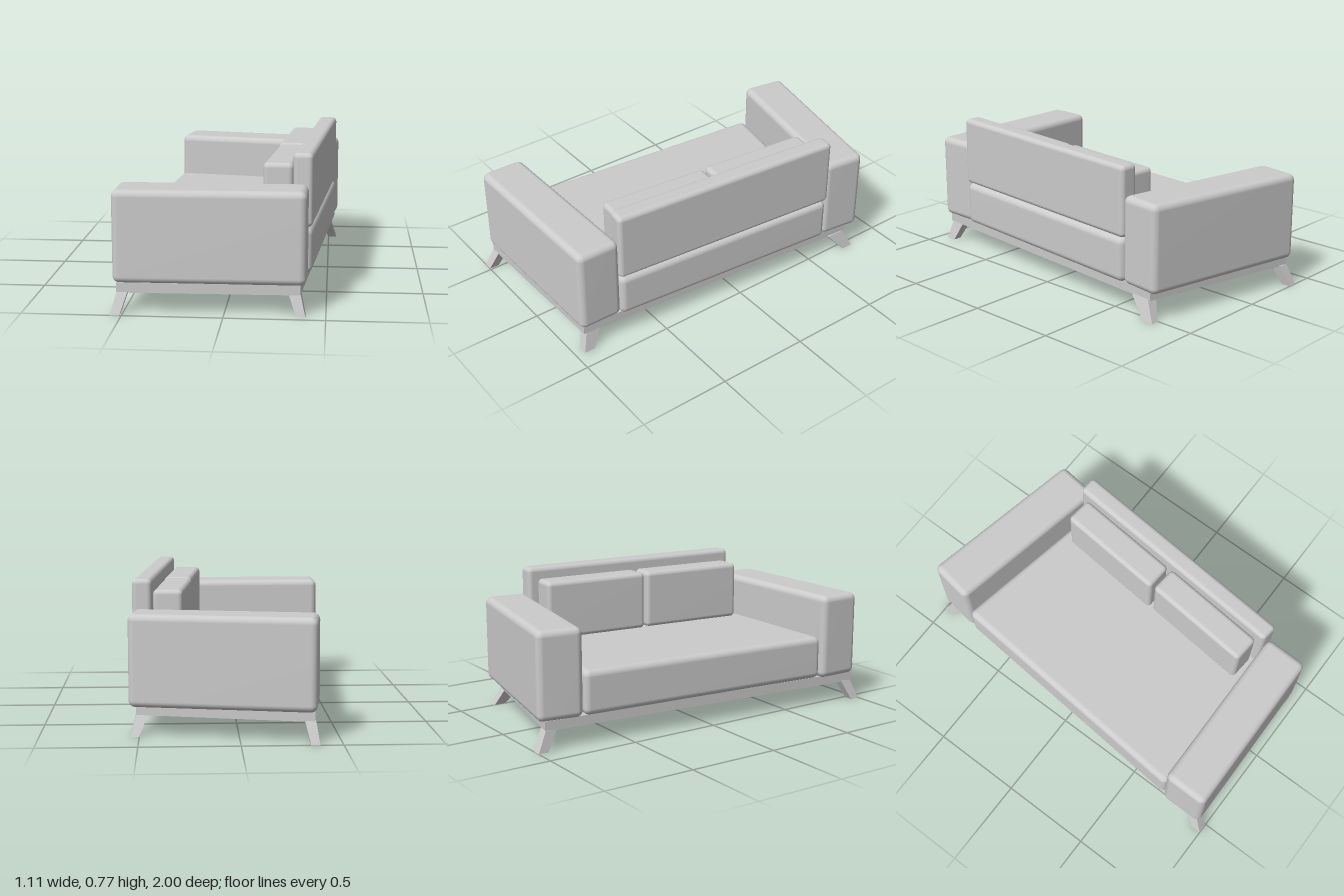
import * as THREE from 'three';
import { mergeVertices } from 'three/addons/utils/BufferGeometryUtils.js';
import { RoundedBoxGeometry } from 'three/addons/geometries/RoundedBoxGeometry.js';

const material = new THREE.MeshStandardMaterial({ color: 0xcccccc });

// Plan quads list [x, z] corners: near left, near right, far right, far left.
function bilinear(q, u, v, k) {
  return (1 - v) * ((1 - u) * q[0][k] + u * q[1][k]) + v * ((1 - u) * q[3][k] + u * q[2][k]);
}

// Warps a geometry of size w x h x d into the space between a bottom and a top quad.
function warp(geometry, [w, h, d], bottom, top, y0, y1) {
  const p = geometry.attributes.position;
  for (let i = 0; i < p.count; i++) {
    const u = p.getX(i) / w + 0.5;
    const t = p.getY(i) / h + 0.5;
    const v = 0.5 - p.getZ(i) / d;
    const at = (k) => (1 - t) * bilinear(bottom, u, v, k) + t * bilinear(top, u, v, k);
    p.setXYZ(i, at(0), y0 + t * (y1 - y0), at(1));
  }
  return geometry;
}

// Soft block with rounded edges standing on a plan quad
function cushion(name, quad, y0, y1, radius) {
  const side = (a, b) => Math.hypot(a[0] - b[0], a[1] - b[1]);
  const size = [side(quad[0], quad[1]), y1 - y0, side(quad[0], quad[3])];
  let geometry = new RoundedBoxGeometry(...size, 5, radius);
  warp(geometry, size, quad, quad, y0, y1);
  geometry.deleteAttribute('uv');
  geometry.deleteAttribute('normal');
  geometry = mergeVertices(geometry, 1e-5);
  geometry.computeVertexNormals();
  const mesh = new THREE.Mesh(geometry, material);
  mesh.name = name;
  return mesh;
}

// Axis-aligned plan rectangle
const rect = (x0, x1, z0, z1) => [[x0, z1], [x1, z1], [x1, z0], [x0, z0]];

// Splayed, tapering leg
function leg(name, top, foot) {
  const geometry = warp(new THREE.BoxGeometry(1, 1, 1), [1, 1, 1], rect(...foot), rect(...top), 0, 0.108);
  geometry.computeVertexNormals();
  const mesh = new THREE.Mesh(geometry, material);
  mesh.name = name;
  return mesh;
}

// Open rail frame under the upholstery
function baseFrame(quad) {
  const points = (q) => q.map(([x, z]) => new THREE.Vector2(x, z));
  const inset = [[0.06, 0.04], [0.94, 0.04], [0.94, 0.96], [0.06, 0.96]]
    .map(([u, v]) => [bilinear(quad, u, v, 0), bilinear(quad, u, v, 1)]);
  const shape = new THREE.Shape(points(quad));
  shape.holes.push(new THREE.Path(points(inset)));
  const geometry = new THREE.ExtrudeGeometry(shape, { depth: 0.052, bevelEnabled: false });
  geometry.rotateX(Math.PI / 2).translate(0, 0.156, 0);
  const mesh = new THREE.Mesh(geometry, material);
  mesh.name = 'baseFrame';
  return mesh;
}

export function createModel() {
  const sofa = new THREE.Group();
  sofa.name = 'sofa';

  // Base and legs
  sofa.add(
    baseFrame([[-0.53, 0.955], [0.375, 0.935], [0.515, -0.75], [-0.365, -0.95]]),
    leg('nearFrontLeg', [-0.53, -0.475, 0.89, 0.955], [-0.557, -0.51, 0.945, 1.0]),
    leg('nearBackLeg', [0.315, 0.375, 0.835, 0.92], [0.355, 0.4, 0.89, 0.95]),
    leg('farBackLeg', [0.455, 0.515, -0.735, -0.63], [0.5, 0.545, -0.79, -0.725]),
    leg('farFrontLeg', [-0.37, -0.315, -0.95, -0.885], [-0.385, -0.34, -1.0, -0.945]),
  );

  // Seat runs under the backrest, between the two arms
  sofa.add(
    cushion('seat', [[-0.533, 0.725], [0.425, 0.725], [0.538, -0.57], [-0.41, -0.742]], 0.155, 0.392, 0.035),
    cushion('nearArm', [[-0.548, 0.726], [0.407, 0.715], [0.403, 0.958], [-0.55, 0.97]]
      .reverse().map((c, i, a) => a[i]), 0.152, 0.62, 0.035),
    cushion('farArm', [[-0.408, -0.745], [0.525, -0.568], [0.555, -0.805], [-0.37, -0.99]], 0.152, 0.62, 0.035),
  );

  // Backrest and its two loose cushions
  sofa.add(
    cushion('backrest', [[0.325, 0.718], [0.425, 0.73], [0.538, -0.58], [0.437, -0.588]], 0.395, 0.77, 0.025),
    cushion('nearBackCushion', [[0.172, 0.665], [0.325, 0.678], [0.381, 0.08], [0.23, 0.066]], 0.388, 0.71, 0.025),
    cushion('farBackCushion', [[0.223, 0.048], [0.378, 0.058], [0.432, -0.538], [0.28, -0.555]], 0.388, 0.71, 0.025),
  );
  return sofa;
}
